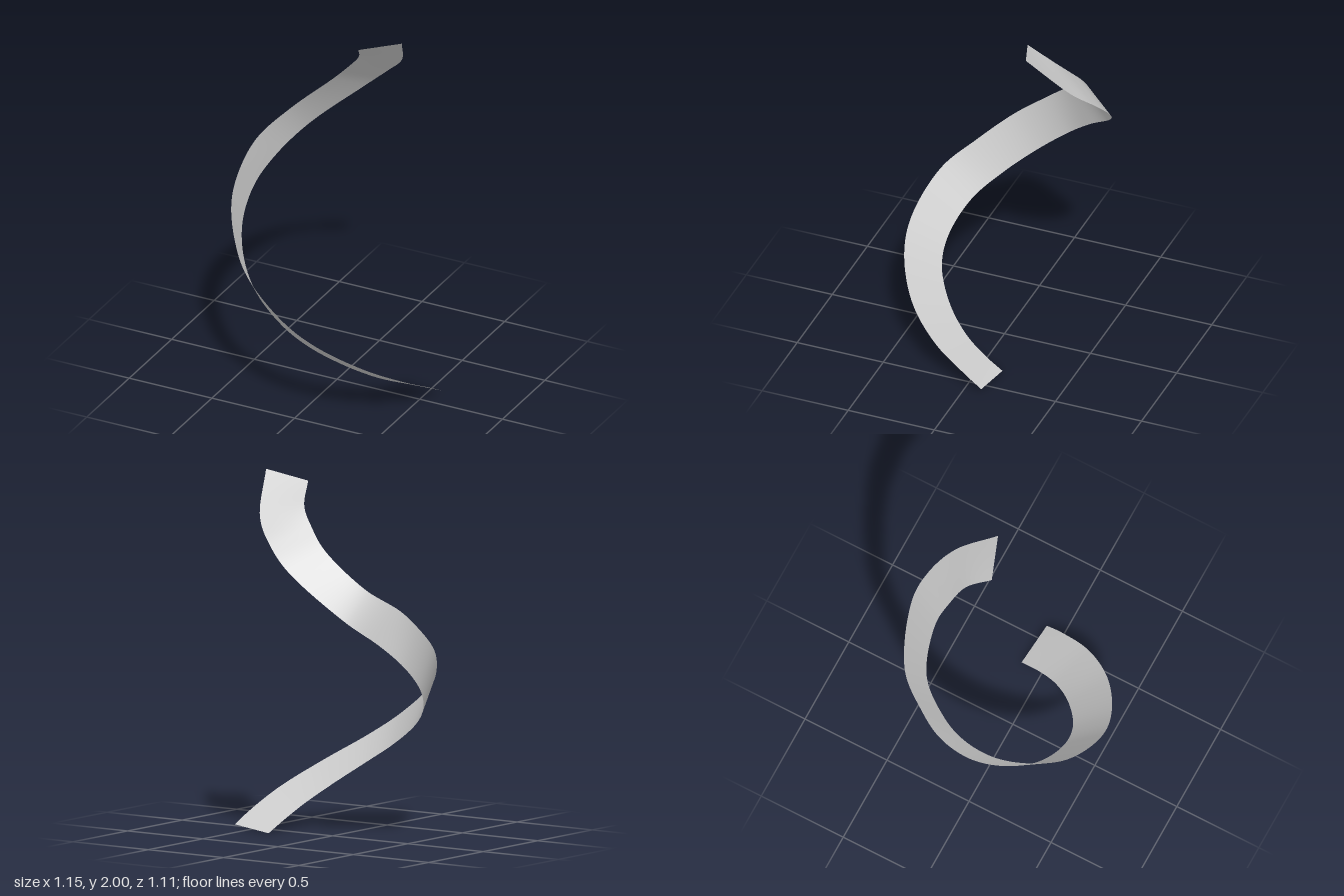
import * as THREE from 'three';

// Stations along the ribbon: a point on one edge, then the point across from it.
const stations = [
  [0.576, 0.025, -0.10, 0.335, 0.0, -0.125],
  [0.56, 0.085, 0.0, 0.315, 0.06, -0.015],
  [0.50, 0.20, 0.20, 0.27, 0.14, 0.115],
  [0.36, 0.33, 0.39, 0.17, 0.245, 0.25],
  [0.14, 0.48, 0.525, 0.02, 0.365, 0.355],
  [-0.04, 0.60, 0.555, -0.13, 0.465, 0.377],
  [-0.29, 0.775, 0.485, -0.32, 0.595, 0.32],
  [-0.44, 0.895, 0.345, -0.465, 0.715, 0.19],
  [-0.55, 1.04, 0.17, -0.555, 0.845, 0.03],
  [-0.577, 1.17, 0.0, -0.57, 0.985, -0.14],
  [-0.545, 1.285, -0.135, -0.515, 1.11, -0.285],
  [-0.43, 1.41, -0.295, -0.40, 1.25, -0.445],
  [-0.21, 1.61, -0.36, -0.11, 1.505, -0.555],
  [-0.10, 1.725, -0.33, 0.03, 1.635, -0.53],
  [-0.015, 1.825, -0.28, 0.16, 1.77, -0.445],
  [0.05, 1.945, -0.155, 0.272, 2.0, -0.235],
];

// Smooth curve through one edge of the ribbon
function edgeCurve(offset) {
  const points = stations.map((s) => new THREE.Vector3(s[offset], s[offset + 1], s[offset + 2]));
  return new THREE.CatmullRomCurve3(points, false, 'centripetal');
}

// Ruled surface spanning two edge curves
function ruledSurface(a, b, lengthSegments, widthSegments) {
  const geometry = new THREE.PlaneGeometry(1, 1, widthSegments, lengthSegments);
  const position = geometry.attributes.position;
  const p = new THREE.Vector3();
  for (let i = 0, k = 0; i <= lengthSegments; i++) {
    const start = a.getPoint(i / lengthSegments);
    const end = b.getPoint(i / lengthSegments);
    for (let j = 0; j <= widthSegments; j++, k++) {
      p.lerpVectors(start, end, j / widthSegments);
      position.setXYZ(k, p.x, p.y, p.z);
    }
  }
  geometry.computeVertexNormals();
  return geometry;
}

export function createModel() {
  const group = new THREE.Group();
  group.name = 'twistedRibbon';

  const lightGrey = new THREE.MeshStandardMaterial({ color: 0xcccccc, side: THREE.DoubleSide });
  lightGrey.name = 'light grey';

  // Thin band winding up through almost one turn
  const ribbon = new THREE.Mesh(ruledSurface(edgeCurve(0), edgeCurve(3), 150, 6), lightGrey);
  ribbon.name = 'ribbon';
  group.add(ribbon);
  return group;
}
